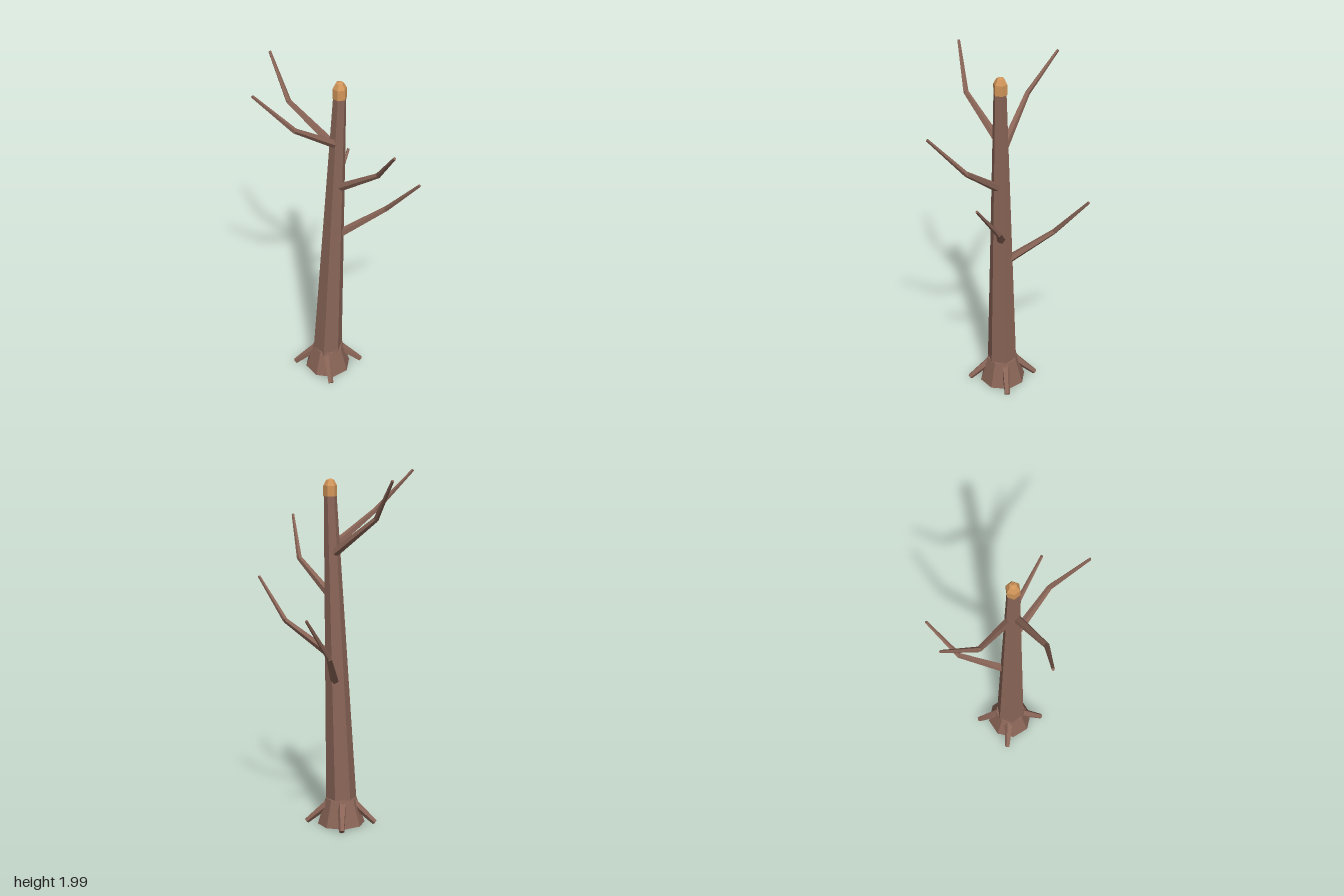
import * as THREE from 'three';

const bark = new THREE.MeshStandardMaterial({ color: 0x8a6557, flatShading: true });
bark.name = 'bark brown';
const cutWood = new THREE.MeshStandardMaterial({ color: 0xd2965a, flatShading: true });
cutWood.name = 'cut wood tan';

// Tapered, faceted limb between two points
function limb(name, from, to, r0, r1, sides) {
  const a = new THREE.Vector3(...from), b = new THREE.Vector3(...to);
  const dir = b.clone().sub(a);
  const geo = new THREE.CylinderGeometry(r1, r0, dir.length(), sides, 1, false, Math.PI / 2);
  const mesh = new THREE.Mesh(geo, bark);
  mesh.name = name;
  mesh.quaternion.setFromUnitVectors(new THREE.Vector3(0, 1, 0), dir.normalize());
  mesh.position.copy(a).add(b).multiplyScalar(0.5);
  return mesh;
}

export function createModel() {
  const tree = new THREE.Group();
  tree.name = 'bareTree';

  // Leaning six-sided trunk
  tree.add(limb('trunk', [-0.02, 0.015, -0.018], [0.043, 1.87, 0.012], 0.09, 0.035, 6));

  // Flared eight-sided foot
  tree.add(limb('trunkFlare', [-0.015, 0.01, -0.02], [-0.013, 0.16, -0.018], 0.133, 0.088, 8));

  // Rounded tan cap on the broken top
  const profile = [[0, 1.855], [0.038, 1.855], [0.038, 1.912], [0.021, 1.943], [0, 1.951]]
    .map(([x, y]) => new THREE.Vector2(x, y));
  const cap = new THREE.Mesh(new THREE.LatheGeometry(profile, 6, Math.PI / 2), cutWood);
  cap.name = 'trunkCap';
  cap.position.set(0.043, 0, 0.01);
  tree.add(cap);

  // Roots: start and tip
  const roots = [
    [[0.045, 0.14, -0.022], [0.18, 0.02, 0.005]],
    [[-0.03, 0.14, 0.035], [-0.045, 0.02, 0.172]],
    [[-0.075, 0.14, -0.035], [-0.202, 0.02, -0.068]],
    [[-0.012, 0.14, -0.085], [0.004, 0.02, -0.212]],
  ];
  for (const [start, tip] of roots) tree.add(limb('root', start, tip, 0.027, 0.016, 5));

  // Branches: start, elbow and tip
  const branches = [
    [[0.02, 1.585, 0.02], [-0.225, 1.77, 0.13], [-0.43, 1.99, 0.118]],
    [[0.02, 1.55, -0.02], [-0.18, 1.745, -0.2], [-0.238, 1.955, -0.388]],
    [[0.045, 1.315, 0.03], [0.195, 1.495, 0.232], [0.215, 1.725, 0.438]],
    [[0.06, 0.995, 0.01], [0.287, 1.165, 0.085], [0.424, 1.395, 0.235]],
    [[0.025, 0.845, -0.05], [0.08, 1.015, -0.29], [0.214, 1.245, -0.438]],
  ];
  for (const [start, elbow, tip] of branches) {
    const branch = new THREE.Group();
    branch.name = 'branch';
    branch.add(limb('lowerBranch', start, elbow, 0.024, 0.015, 5));
    branch.add(limb('upperBranch', elbow, tip, 0.015, 0.008, 5));
    tree.add(branch);
  }
  return tree;
}
